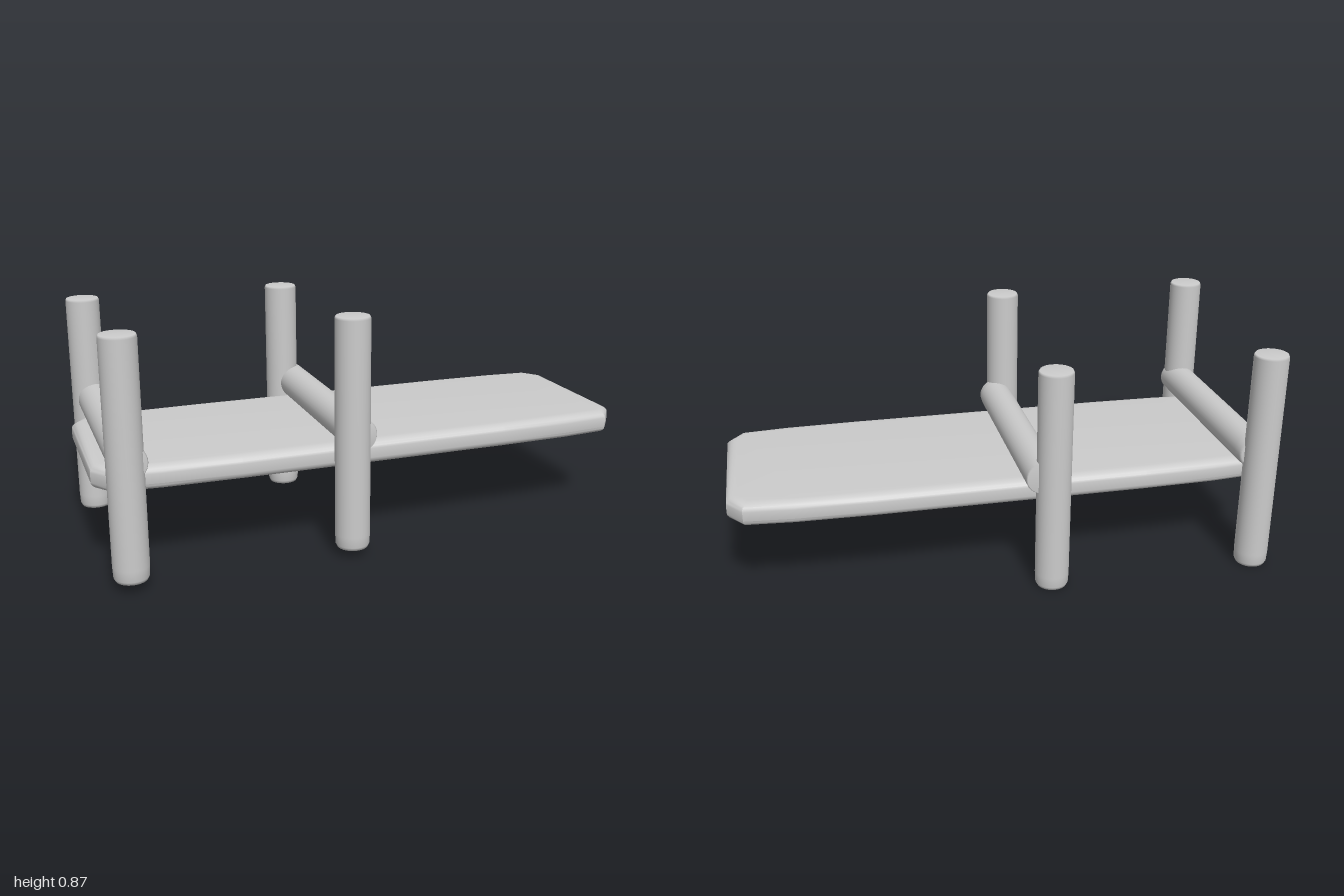
import * as THREE from 'three';
import { toCreasedNormals } from 'three/addons/utils/BufferGeometryUtils.js';

const LENGTH = 0.83;

export function createModel() {
  const group = new THREE.Group();
  const material = new THREE.MeshStandardMaterial({ color: 0xcccccc });

  // Round pole shared by posts and rails: softened foot, crisp top
  const profile = [
    [0, 0], [0.054, 0], [0.06, 0.012], [0.062, 0.05],
    [0.062, LENGTH - 0.008], [0.058, LENGTH], [0, LENGTH],
  ].map(([r, y]) => new THREE.Vector2(r, y));
  const pole = new THREE.LatheGeometry(profile, 32);

  const addPole = (name, x, y, z, tilt = 0) => {
    const mesh = new THREE.Mesh(pole, material);
    mesh.name = name;
    mesh.position.set(x, y, z);
    mesh.rotation.x = tilt;
    group.add(mesh);
  };

  // Four upright posts; the front pair sits slightly higher
  addPole('frontOuterPost', -0.905, 0.035, 0.404);
  addPole('frontInnerPost', -0.125, 0.035, 0.404);
  addPole('backOuterPost', -0.912, 0, -0.405);
  addPole('backInnerPost', -0.132, 0, -0.405);

  // Cross rails lying over the board, laid in opposite directions
  addPole('outerRail', -0.895, 0.443, -0.397, Math.PI / 2);
  addPole('innerRail', -0.091, 0.437, 0.408, -Math.PI / 2);

  // Long board with clipped corners and softened edges
  const corner = [[1, 0.255], [0.945, 0.327], [0.77, 0.342], [0.5, 0.348]];
  const mirrored = [...corner].reverse();
  const outline = [
    ...corner,
    ...mirrored.map(([x, z]) => [-x, z]),
    ...corner.map(([x, z]) => [-x, -z]),
    ...mirrored.map(([x, z]) => [x, -z]),
  ].map(([x, z]) => new THREE.Vector2(x, z));
  const bevel = 0.027;
  const boardGeometry = new THREE.ExtrudeGeometry(new THREE.Shape(outline), {
    depth: 0.088 - 2 * bevel,
    bevelThickness: bevel,
    bevelSize: 0.04,
    bevelOffset: -0.04,
    bevelSegments: 5,
  });
  boardGeometry.rotateX(-Math.PI / 2);
  const board = new THREE.Mesh(toCreasedNormals(boardGeometry, 0.6), material);
  board.name = 'board';
  board.position.y = 0.306 + bevel;
  group.add(board);

  return group;
}
